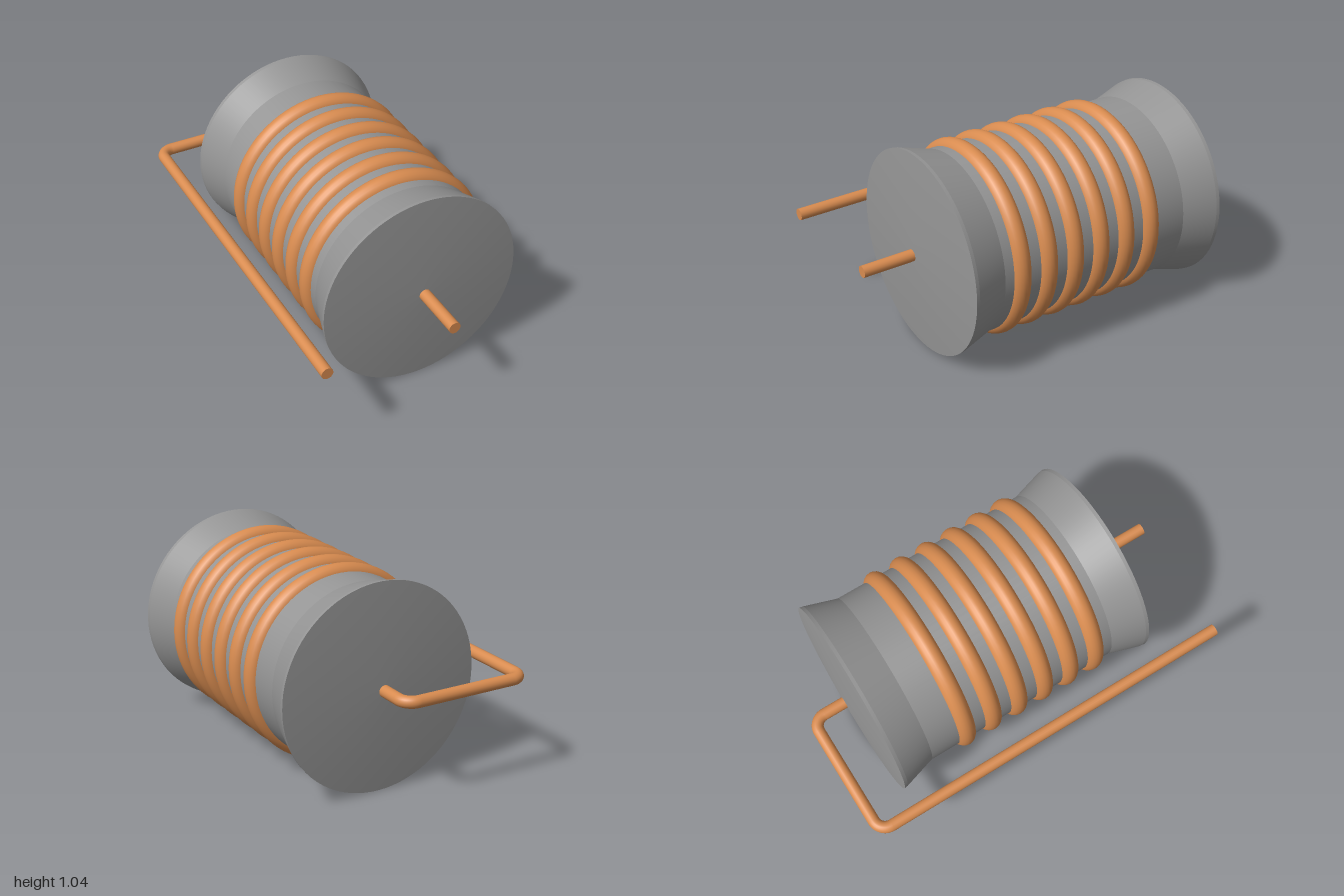
import * as THREE from 'three';
import { toCreasedNormals } from 'three/addons/utils/BufferGeometryUtils.js';

export function createModel() {
  const model = new THREE.Group();
  const darkGrey = new THREE.MeshStandardMaterial({ color: 0x959595 });
  const copper = new THREE.MeshStandardMaterial({ color: 0xd98c50 });
  const axisX = 0.085, axisY = 0.521;

  const add = (parent, name, geometry, material) => {
    const mesh = new THREE.Mesh(geometry, material);
    mesh.name = name;
    parent.add(mesh);
    return mesh;
  };

  // Core: flared spool with narrow rims and shallow conical ends, turned around z
  const profile = [
    [0, -0.79], [0.521, -0.75], [0.519, -0.732], [0.467, -0.56],
    [0.467, 0.5], [0.519, 0.672], [0.521, 0.69], [0, 0.73],
  ].map(([r, z]) => new THREE.Vector2(r, z));
  const coreGeometry = toCreasedNormals(new THREE.LatheGeometry(profile, 80), 0.15);
  coreGeometry.rotateX(Math.PI / 2);
  add(model, 'core', coreGeometry, darkGrey).position.set(axisX, axisY, 0);

  // Winding: six evenly spaced rings
  const winding = new THREE.Group();
  winding.name = 'winding';
  for (let i = 0; i < 6; i++) {
    const ring = add(winding, 'windingRing', new THREE.TorusGeometry(0.45, 0.05, 20, 80), copper);
    ring.position.set(axisX, axisY, 0.403 - i * 0.1514);
  }
  model.add(winding);

  // Lead wire: through the core, around the back and forward along the side
  const lead = new THREE.Group();
  lead.name = 'leadWire';
  const wireR = 0.03, bendR = 0.065, backZ = -0.97, sideX = -0.576;
  const point = (x, z) => new THREE.Vector3(x, axisY, z);
  const straight = (name, a, b) => {
    const rod = add(lead, name, new THREE.CylinderGeometry(wireR, wireR, a.distanceTo(b), 20), copper);
    rod.position.copy(a).add(b).multiplyScalar(0.5);
    rod.quaternion.setFromUnitVectors(new THREE.Vector3(0, 1, 0), b.clone().sub(a).normalize());
  };
  const bend = (name, x, side) => {
    const arc = new THREE.TorusGeometry(bendR, wireR, 20, 12, Math.PI / 2);
    arc.rotateX(-Math.PI / 2);
    if (side < 0) arc.rotateY(Math.PI / 2);
    add(lead, name, arc, copper).position.set(x - side * bendR, axisY, backZ + bendR);
  };
  straight('axialLead', point(axisX, 1), point(axisX, backZ + bendR));
  straight('backLead', point(axisX - bendR, backZ), point(sideX + bendR, backZ));
  straight('sideLead', point(sideX, backZ + bendR), point(sideX, 1));
  bend('axialBend', axisX, 1);
  bend('sideBend', sideX, -1);
  model.add(lead);

  return model;
}
